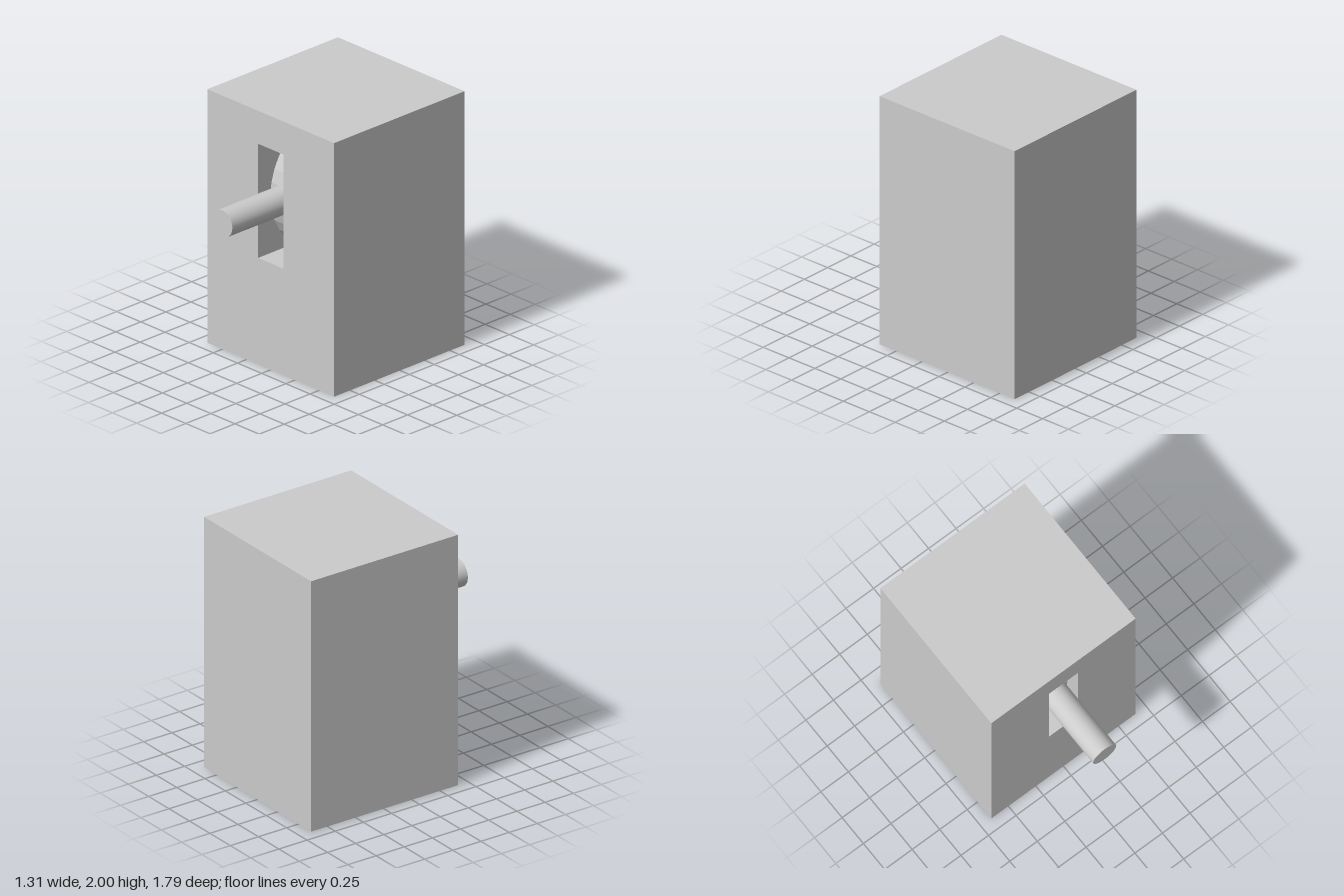
import * as THREE from 'three';
import { mergeGeometries } from 'three/addons/utils/BufferGeometryUtils.js';

const W = 1.31, H = 2, BACK = -0.895, FRONT = 0.41;
const SLOT = { w: 0.26, bottom: 0.84, top: 1.74, depth: 0.65 };
const AXIS_Y = 1.29, AXIS_Z = (BACK + FRONT) / 2;

// Box without its +z face; inward turns the faces to the inside
function openBox(w, y0, y1, z0, z1, inward) {
  const g = new THREE.BoxGeometry(w, y1 - y0, z1 - z0);
  const index = Array.from(g.index.array);
  index.splice(24, 6);
  if (inward) {
    index.reverse();
    const n = g.attributes.normal;
    for (let i = 0; i < n.array.length; i++) n.array[i] *= -1;
  }
  g.setIndex(index);
  g.clearGroups();
  return g.translate(0, (y0 + y1) / 2, (z0 + z1) / 2);
}

// Front face pierced by the slot
function frontFace() {
  const rect = (C, w, y0, y1) => new C([
    new THREE.Vector2(-w / 2, y0), new THREE.Vector2(w / 2, y0),
    new THREE.Vector2(w / 2, y1), new THREE.Vector2(-w / 2, y1),
  ]);
  const shape = rect(THREE.Shape, W, 0, H);
  shape.holes.push(rect(THREE.Path, SLOT.w, SLOT.bottom, SLOT.top));
  return new THREE.ShapeGeometry(shape).translate(0, 0, FRONT);
}

export function createModel() {
  const model = new THREE.Group();
  const add = (name, geometry, flatShading = false) => {
    const mesh = new THREE.Mesh(geometry, new THREE.MeshStandardMaterial({ color: 0xcccccc, flatShading }));
    mesh.name = name;
    model.add(mesh);
    return mesh;
  };

  // Housing block with a recessed slot
  add('housing', mergeGeometries([
    openBox(W, 0, H, BACK, FRONT, false),
    openBox(SLOT.w, SLOT.bottom, SLOT.top, FRONT - SLOT.depth, FRONT, true),
    frontFace(),
  ]));

  // Faceted drum that turns inside the slot
  const drum = add('drum', new THREE.CylinderGeometry(0.53, 0.53, 0.28, 32).rotateZ(Math.PI / 2), true);
  drum.position.set(0, AXIS_Y, AXIS_Z);

  // Round lever reaching from the drum out of the slot
  const rodBack = 0, rodFront = 0.895;
  const lever = add('lever', new THREE.CylinderGeometry(0.105, 0.105, rodFront - rodBack, 32).rotateX(Math.PI / 2));
  lever.position.set(0, 1.305, (rodBack + rodFront) / 2);

  return model;
}
